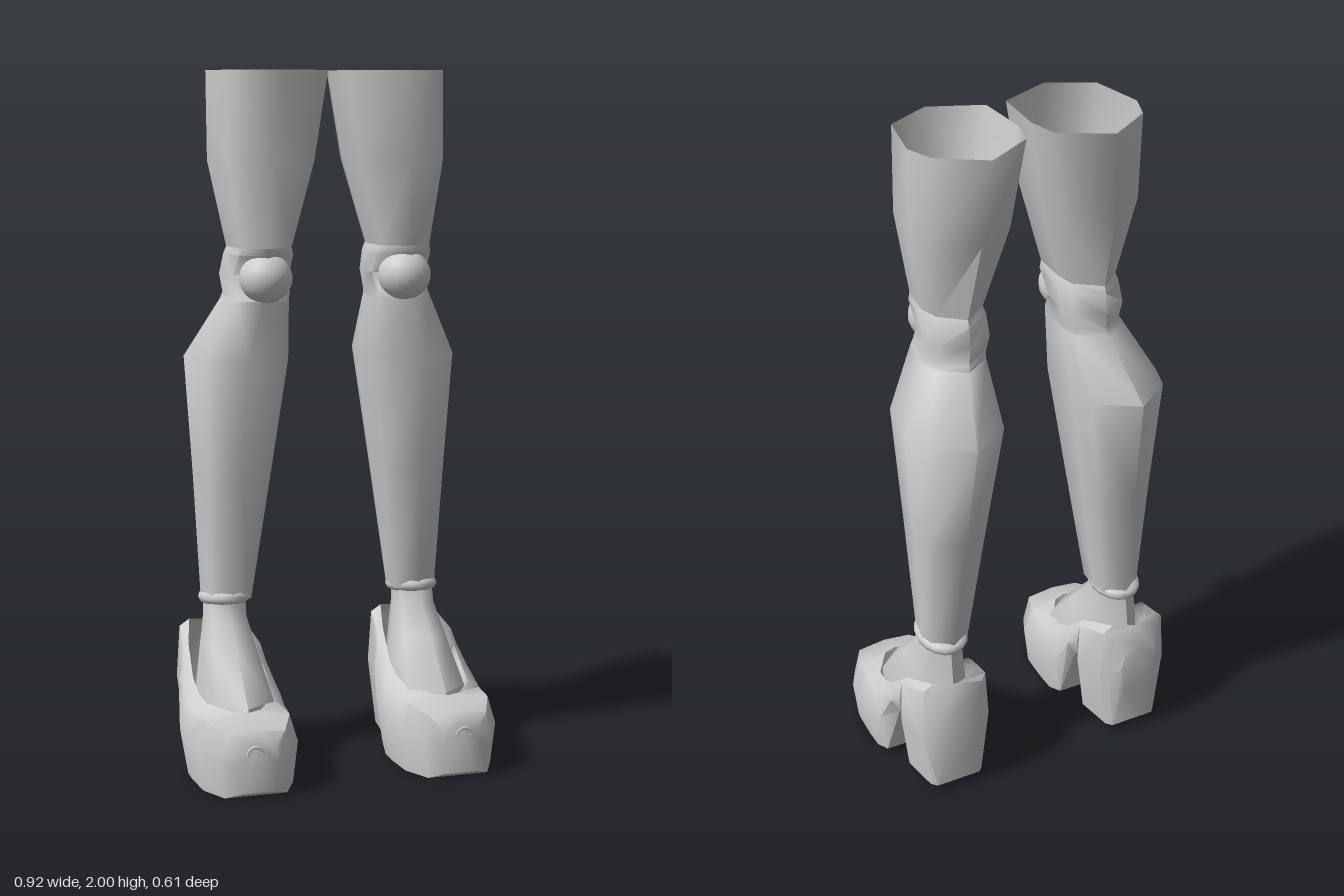
import * as THREE from 'three';
import { toCreasedNormals } from 'three/addons/utils/BufferGeometryUtils.js';

// Skin a list of cross-sections (arrays of [x, y, z]); optionally close each loop and cap both ends
function loft(rows, closed, caps, crease) {
  const n = rows[0].length, index = [];
  for (let i = 0; i < rows.length - 1; i++) {
    for (let j = 0; j < (closed ? n : n - 1); j++) {
      const k = (j + 1) % n;
      const a = i * n + j, b = i * n + k, c = a + n, d = b + n;
      index.push(a, c, b, b, c, d);
    }
  }
  if (caps) {
    const last = (rows.length - 1) * n;
    for (let j = 1; j < n - 1; j++) {
      index.push(0, j, j + 1);
      index.push(last, last + j + 1, last + j);
    }
  }
  const geo = new THREE.BufferGeometry();
  geo.setAttribute('position', new THREE.Float32BufferAttribute(rows.flat(2), 3));
  geo.setIndex(index);
  return toCreasedNormals(geo, crease);
}

// Eight-sided limb outline, fitted to the extents of each ring
const OUTLINE = [[0, -1], [-0.87, -0.59], [-1, -0.15], [-0.94, 0.67], [0, 1], [0.8, 0.67], [1, -0.15], [0.81, -0.57]];
const limb = (rings) => loft(rings.map(([y, x0, x1, z0, z1]) => OUTLINE.map(([u, v]) =>
  [(x0 + x1) / 2 + u * (x1 - x0) / 2, y, (z0 + z1) / 2 + v * (z1 - z0) / 2])), true, false, 1.2);

// Shoe stations: z, sole half width and y, side half width and y, shoulder half width and y, rim half width and y
const SHOE = [
  [0.305, 0.05, 0.015, 0.06, 0.1, 0.05, 0.14, 0, 0.15],
  [0.28, 0.09, 0, 0.105, 0.1, 0.085, 0.18, 0, 0.19],
  [0.2, 0.13, 0, 0.145, 0.12, 0.12, 0.2, 0, 0.215],
  [0.185, 0.132, 0, 0.147, 0.12, 0.123, 0.2, 0.04, 0.217],
  [0.1, 0.138, 0, 0.157, 0.12, 0.132, 0.2, 0.095, 0.222],
  [0.04, 0.138, 0, 0.16, 0.13, 0.14, 0.21, 0.105, 0.237],
  [-0.015, 0.13, 0.02, 0.15, 0.15, 0.135, 0.24, 0.108, 0.268],
  [-0.07, 0.11, 0.2, 0.137, 0.25, 0.123, 0.29, 0.103, 0.315],
  [-0.104, 0.105, 0.22, 0.125, 0.27, 0.117, 0.33, 0.1, 0.345],
  [-0.105, 0.1, 0.02, 0.122, 0.2, 0.117, 0.33, 0.1, 0.345],
  [-0.22, 0.085, 0.02, 0.11, 0.22, 0.1, 0.37, 0.07, 0.39],
  [-0.238, 0.07, 0.02, 0.085, 0.22, 0.08, 0.36, 0, 0.38],
  [-0.264, 0.05, 0.16, 0.06, 0.25, 0.05, 0.3, 0, 0.32],
];

function shoeGeometry(cx) {
  const rows = SHOE.map(([z, wb, yb, w, ym, wr, yr, wo, yo]) => {
    const half = [[wb, yb], [w, ym], [wr, yr], [wo, yo]];
    return [
      ...half.slice().reverse().map(([x, y]) => [cx - x, y, z]),
      ...half.map(([x, y]) => [cx + x, y, z]),
    ];
  });
  return loft(rows, false, true, 0.85);
}

export function createModel() {
  const grey = new THREE.MeshStandardMaterial({ color: 0xcccccc, side: THREE.DoubleSide });
  grey.name = 'light grey';

  function buildLeg(name) {
    const leg = new THREE.Group();
    leg.name = name;
    const add = (part, geo, x = 0, y = 0, z = 0) => {
      const mesh = new THREE.Mesh(geo, grey);
      mesh.name = part;
      mesh.position.set(x, y, z);
      leg.add(mesh);
    };

    // Open-topped thigh, ending in a collar above the knee
    add('thigh', limb([
      [2.0, 0.02, 0.34, -0.245, 0.148],
      [1.75, 0.06, 0.34, -0.22, 0.138],
      [1.51, 0.127, 0.293, -0.155, 0.112],
    ]));
    // Knee collar, pinched at the front to seat the ball
    add('kneeCollar', limb([
      [1.51, 0.127, 0.293, -0.155, 0.112],
      [1.49, 0.12, 0.3, -0.163, 0.108],
      [1.43, 0.118, 0.305, -0.17, 0.045],
      [1.38, 0.125, 0.3, -0.165, 0.08],
      [1.36, 0.128, 0.307, -0.175, 0.087],
    ]));
    const ball = new THREE.SphereGeometry(0.075, 20, 14);
    ball.scale(1, 0.95, 1);
    add('kneeBall', ball, 0.205, 1.425, 0.06);

    // Calf tapering to the ankle
    add('calf', limb([
      [1.36, 0.128, 0.307, -0.175, 0.087],
      [1.19, 0.12, 0.397, -0.302, 0.08],
      [0.85, 0.167, 0.376, -0.25, 0.03],
      [0.48, 0.218, 0.357, -0.197, -0.028],
    ]));

    // Ankle ring, tilted up at the front
    const ring = new THREE.TorusGeometry(0.06, 0.019, 8, 16);
    ring.scale(0.95, 1.22, 1);
    ring.rotateX(Math.PI / 2 - 0.12);
    add('ankleRing', ring, 0.29, 0.48, -0.113);

    // Foot sloping into the shoe
    add('foot', limb([
      [0.48, 0.235, 0.35, -0.188, -0.035],
      [0.43, 0.235, 0.352, -0.19, -0.02],
      [0.35, 0.222, 0.368, -0.2, 0.06],
      [0.22, 0.198, 0.395, -0.2, 0.187],
      [0.18, 0.198, 0.395, -0.2, 0.187],
    ]));

    add('platformShoe', shoeGeometry(0.3));
    // Small arched clasp on the toe
    add('toeClasp', new THREE.TorusGeometry(0.022, 0.005, 6, 10, Math.PI), 0.308, 0.125, 0.304);
    return leg;
  }

  const model = new THREE.Group();
  model.name = 'legs';
  const left = buildLeg('leftLeg');
  const right = buildLeg('rightLeg');
  right.scale.x = -1;
  model.add(left, right);
  return model;
}
